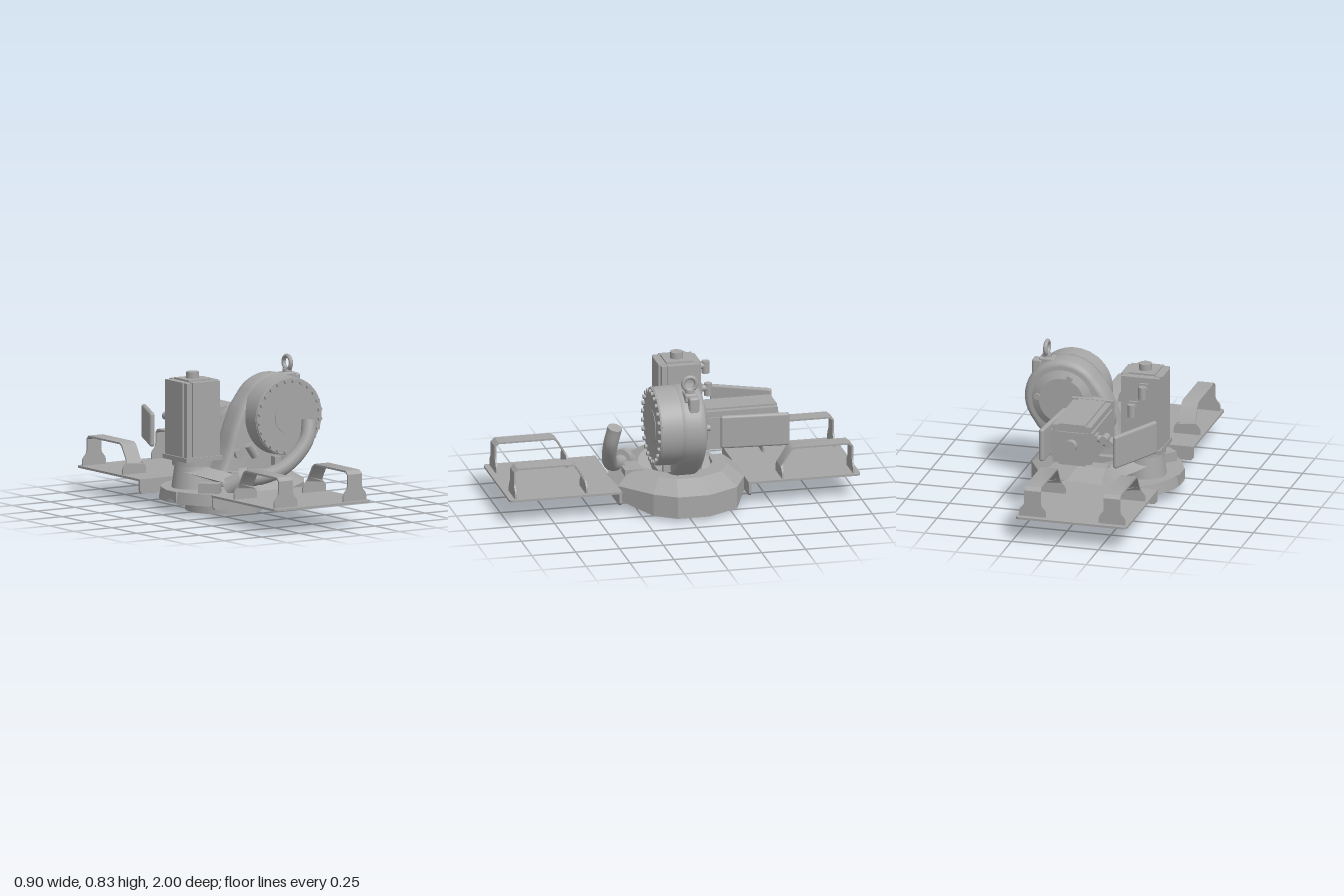
import * as THREE from 'three';
import { toCreasedNormals } from 'three/addons/utils/BufferGeometryUtils.js';
import { RoundedBoxGeometry } from 'three/addons/geometries/RoundedBoxGeometry.js';

const V = (x, y, z) => new THREE.Vector3(x, y, z);
const grey = new THREE.MeshStandardMaterial({ color: 0xa6a6a6, side: THREE.DoubleSide });
grey.name = 'castGrey';

function add(parent, name, geo, x = 0, y = 0, z = 0) {
  const m = new THREE.Mesh(geo, grey);
  m.name = name;
  m.position.set(x, y, z);
  parent.add(m);
  return m;
}
// box given by its minimum and maximum corners
function box(parent, name, [x0, y0, z0], [x1, y1, z1]) {
  return add(parent, name, new THREE.BoxGeometry(x1 - x0, y1 - y0, z1 - z0),
    (x0 + x1) / 2, (y0 + y1) / 2, (z0 + z1) / 2);
}
// cylinder or cone between two points
function rod(parent, name, a, b, r0, r1 = r0, sides = 32) {
  const d = b.clone().sub(a);
  const m = add(parent, name, new THREE.CylinderGeometry(r1, r0, d.length(), sides));
  m.position.copy(a).addScaledVector(d, 0.5);
  m.quaternion.setFromUnitVectors(V(0, 1, 0), d.normalize());
  return m;
}
const poly = pts => new THREE.Shape(pts.map(p => new THREE.Vector2(...p)));
const extrude = (shape, depth) => toCreasedNormals(
  new THREE.ExtrudeGeometry(shape, { depth, bevelEnabled: false, curveSegments: 16 }), 0.6);

// faceted skirt swept around the +x side of the turntable
function skirtGeometry() {
  const path = [[-0.09, 0.375], [0.12, 0.36], [0.31, 0.2], [0.39, 0.08], [0.39, -0.1], [0.29, -0.28], [0.12, -0.36], [-0.09, -0.375]];
  const rings = path.map(([x, z], i) => {
    const low = i > 1 && i < 6 ? 0.02 : 0.065;
    return [[0.9, low], [1, low], [1, 0.145], [0.76, 0.213], [0.56, 0.213], [0.56, 0.13]]
      .map(([s, y]) => [-0.09 + (x + 0.09) * s, y, z * s]);
  });
  const pos = [];
  for (let i = 0; i < rings.length - 1; i++) {
    for (let j = 0; j < 5; j++) {
      const a = rings[i][j], b = rings[i + 1][j], c = rings[i + 1][j + 1], d = rings[i][j + 1];
      pos.push(...a, ...b, ...c, ...a, ...c, ...d);
    }
  }
  const g = new THREE.BufferGeometry();
  g.setAttribute('position', new THREE.Float32BufferAttribute(pos, 3));
  g.computeVertexNormals();
  return g;
}

// side plate with flange, bolts and two strap handles, built on the +z side
function forkPlate() {
  const g = new THREE.Group();
  g.name = 'mountingPlate';
  const s = new THREE.Shape();
  s.moveTo(-0.41, 0.36).lineTo(0.23, 0.36).lineTo(0.23, 0.975).quadraticCurveTo(0.23, 1, 0.205, 1)
    .lineTo(-0.385, 1).quadraticCurveTo(-0.41, 1, -0.41, 0.975);
  add(g, 'plateDeck', extrude(s, 0.012).rotateX(Math.PI / 2), 0, 0.146, 0);
  const f = poly([[-0.41, 0.146], [-0.41, 0.08], [-0.395, 0.065], [0.215, 0.065], [0.23, 0.08], [0.23, 0.146]]);
  add(g, 'plateFlange', extrude(f, 0.014), 0, 0, 0.362);
  for (const x of [-0.197, 0.015]) rod(g, 'flangeBolt', V(x, 0.09, 0.355), V(x, 0.09, 0.384), 0.013);
  const strap = poly([[0.553, 0.21], [0.607, 0.3], [0.63, 0.315], [0.945, 0.315], [0.967, 0.295], [0.967, 0.21],
    [0.957, 0.21], [0.957, 0.293], [0.942, 0.305], [0.632, 0.305], [0.615, 0.294], [0.563, 0.21]]);
  const foot = new THREE.Shape();
  foot.moveTo(-0.076, 0.145).lineTo(0.076, 0.145).lineTo(0.076, 0.175)
    .bezierCurveTo(0.07, 0.205, 0.048, 0.2, 0.047, 0.235)
    .lineTo(-0.047, 0.235).bezierCurveTo(-0.048, 0.2, -0.07, 0.205, -0.076, 0.175);
  for (const x of [-0.318, 0.14]) {
    add(g, 'handleStrap', extrude(strap, 0.094).rotateY(-Math.PI / 2), x + 0.047, 0, 0);
    add(g, 'handleOuterFoot', extrude(foot, 0.01), x, 0, 0.957);
    const inner = extrude(foot, 0.01);
    const p = inner.attributes.position;
    // lean the inner foot along the sloping strap above its flare
    for (let i = 0; i < p.count; i++) p.setZ(i, p.getZ(i) + Math.max(0, p.getY(i) - 0.21) * 0.6);
    inner.computeVertexNormals();
    add(g, 'handleInnerFoot', inner, x, 0, 0.553);
  }
  return g;
}

// servo motor standing along +y with elbow plugs on its -z side
function motor(name) {
  const g = new THREE.Group();
  g.name = name;
  const L = 0.445;
  box(g, 'motorBody', [-0.11, 0, -0.11], [0.11, L - 0.003, 0.11]);
  box(g, 'motorSidePlates', [-0.12, 0.03, -0.077], [0.12, L, 0.077]);
  box(g, 'motorFacePlates', [-0.077, 0.03, -0.12], [0.077, L, 0.12]);
  box(g, 'motorFlange', [-0.12, 0, -0.12], [0.12, 0.025, 0.12]);
  box(g, 'motorEndCap', [-0.075, L, -0.075], [0.075, L + 0.009, 0.075]);
  rod(g, 'encoderPlug', V(0, L, 0), V(0, L + 0.045, 0), 0.036);
  for (const x of [-1, 1]) for (const z of [-1, 1])
    rod(g, 'flangeBolt', V(x * 0.098, 0, z * 0.098), V(x * 0.098, 0.05, z * 0.098), 0.012, 0.012, 12);
  for (const [x, y] of [[-0.03, 0.385], [0.032, 0.275]]) {
    box(g, 'plugBase', [x - 0.025, y - 0.03, -0.135], [x + 0.025, y + 0.03, -0.115]);
    rod(g, 'plugNeck', V(x, y, -0.12), V(x, y, -0.175), 0.02, 0.02, 20);
    rod(g, 'plugElbow', V(x, y + 0.026, -0.172), V(x, y - 0.045, -0.172), 0.022, 0.022, 20);
  }
  return g;
}

export function createModel() {
  const root = new THREE.Group();
  root.name = 'robotBase';

  // pedestal and turntable
  rod(root, 'pedestal', V(-0.09, 0, 0), V(-0.09, 0.07, 0), 0.215, 0.215, 64);
  rod(root, 'turntable', V(-0.09, 0.065, 0), V(-0.09, 0.13, 0), 0.361, 0.35, 64);
  rod(root, 'turntableHub', V(-0.07, 0.13, 0), V(-0.05, 0.19, 0), 0.29, 0.2, 64);
  add(root, 'turntableSkirt', skirtGeometry());
  box(root, 'turntableStop', [-0.447, 0.07, -0.06], [-0.4, 0.13, 0.06]);

  // front and rear plates
  const front = forkPlate(), rear = forkPlate();
  rear.scale.z = -1;
  root.add(front, rear);

  // swinging arm casting with rounded rim
  const cx = 0.22, cy = 0.515;
  const s = new THREE.Shape();
  s.moveTo(-0.19, 0.15);
  s.splineThru([[-0.14, 0.25], [-0.105, 0.34], [-0.07, 0.45], [-0.02, 0.565], [0.048, 0.66]].map(p => new THREE.Vector2(...p)));
  s.absarc(cx, cy, 0.225, 2.44, -0.61, true);
  s.lineTo(0.37, 0.335).lineTo(0.3, 0.265).lineTo(0.2, 0.205).lineTo(0.13, 0.15);
  const armGeo = new THREE.ExtrudeGeometry(s, { depth: 0.07, bevelThickness: 0.045, bevelSize: 0.03, bevelOffset: -0.03, bevelSegments: 4, curveSegments: 40 });
  add(root, 'arm', toCreasedNormals(armGeo, 0.6), 0, 0, -0.035);
  rod(root, 'armPivotPin', V(-0.053, 0.315, 0.05), V(-0.053, 0.315, 0.1), 0.025);

  // reducer drum with bolt circle and domed back
  rod(root, 'drum', V(cx, cy, 0.06), V(cx, cy, 0.18), 0.222, 0.219, 64);
  rod(root, 'drumFace', V(cx, cy, 0.175), V(cx, cy, 0.188), 0.219, 0.214, 64);
  rod(root, 'drumHub', V(cx, cy, 0.18), V(cx, cy, 0.191), 0.095, 0.095, 48);
  for (let i = 0; i < 24; i++) {
    const a = (i + 0.5) * Math.PI / 12, x = cx + 0.199 * Math.cos(a), y = cy + 0.199 * Math.sin(a);
    rod(root, 'drumBolt', V(x, y, 0.18), V(x, y, 0.202), 0.012, 0.012, 14);
  }
  rod(root, 'drumBackCover', V(cx, cy, -0.07), V(cx, cy, -0.1), 0.195, 0.13, 48);
  for (const a of [0.1, 1.9, 5]) {
    const x = cx + 0.14 * Math.cos(a), y = cy + 0.14 * Math.sin(a);
    rod(root, 'backPlug', V(x, y, -0.08), V(x, y, -0.108), 0.018, 0.018, 16);
  }

  // lifting eye and the boss beside it
  add(root, 'liftingEye', new THREE.TorusGeometry(0.037, 0.012, 14, 36).rotateY(Math.PI / 2), 0.33, 0.786, 0);
  rod(root, 'liftingEyeCollar', V(0.33, 0.69, 0), V(0.33, 0.752, 0), 0.029, 0.026, 20);
  add(root, 'liftingEyeSeat', new RoundedBoxGeometry(0.09, 0.05, 0.07, 3, 0.01), 0.325, 0.71, 0);
  add(root, 'armBoss', new RoundedBoxGeometry(0.06, 0.14, 0.06, 3, 0.015), 0.378, 0.655, -0.01);

  // upright motor on its gear housing
  const upright = motor('uprightMotor');
  upright.position.set(-0.255, 0.285, -0.065);
  root.add(upright);
  rod(root, 'uprightMotorHousing', V(-0.255, 0.12, -0.065), V(-0.255, 0.26, -0.065), 0.12, 0.1, 40);
  rod(root, 'uprightMotorCollar', V(-0.255, 0.255, -0.065), V(-0.255, 0.29, -0.065), 0.115, 0.115, 40);
  const bracket = add(root, 'turntableBracket', new THREE.BoxGeometry(0.12, 0.06, 0.08), -0.3, 0.155, 0.175);
  bracket.rotation.y = -0.75;

  // level motor behind the arm
  const level = motor('levelMotor');
  level.quaternion.setFromRotationMatrix(new THREE.Matrix4().makeBasis(V(0, -1, 0), V(0, 0, -1), V(1, 0, 0)));
  level.position.set(0.032, 0.433, -0.105);
  root.add(level);
  rod(root, 'levelMotorCollar', V(0.032, 0.433, -0.06), V(0.032, 0.433, -0.11), 0.12, 0.12, 40);

  // rounded guard panels either side of the level motor
  function guard(name, x0, z0, x1, z1) {
    const m = add(root, name, new RoundedBoxGeometry(0.03, 0.19, Math.hypot(x1 - x0, z1 - z0), 4, 0.014),
      (x0 + x1) / 2, 0.43, (z0 + z1) / 2);
    m.rotation.y = Math.atan2(x1 - x0, z1 - z0);
  }
  guard('leftTiltedGuard', -0.378, -0.285, -0.225, -0.6);
  guard('rightGuard', 0.165, -0.215, 0.195, -0.6);
  box(root, 'guardBracket', [0.14, 0.38, -0.45], [0.185, 0.48, -0.3]);

  // cable hose rising from its flange
  const hose = new THREE.CatmullRomCurve3([V(-0.16, 0.195, 0.25), V(-0.06, 0.215, 0.33), V(0.03, 0.255, 0.38),
    V(0.12, 0.33, 0.408), V(0.185, 0.42, 0.415), V(0.213, 0.52, 0.398)]);
  add(root, 'hose', new THREE.TubeGeometry(hose, 48, 0.041, 24));
  const end = hose.getPoint(1), dir = hose.getTangent(1);
  rod(root, 'hoseEnd', end.clone().addScaledVector(dir, -0.01), end.clone().addScaledVector(dir, 0.001), 0.041);
  rod(root, 'hoseFlange', V(-0.15, 0.205, 0.258), V(-0.115, 0.212, 0.285), 0.06, 0.06, 32);
  rod(root, 'hoseSocket', V(-0.2, 0.15, 0.2), V(-0.14, 0.205, 0.265), 0.055, 0.045);

  // small fittings around the arm foot
  box(root, 'junctionBox', [0, 0.15, 0.21], [0.085, 0.22, 0.31]);
  box(root, 'armStop', [0.17, 0.235, 0.04], [0.21, 0.285, 0.12]);
  rod(root, 'armFitting', V(0.045, 0.3, 0.11), V(0, 0.365, 0.11), 0.025, 0.025, 20);
  box(root, 'armFoot', [-0.12, 0.13, -0.12], [0.12, 0.22, 0.13]);
  return root;
}
